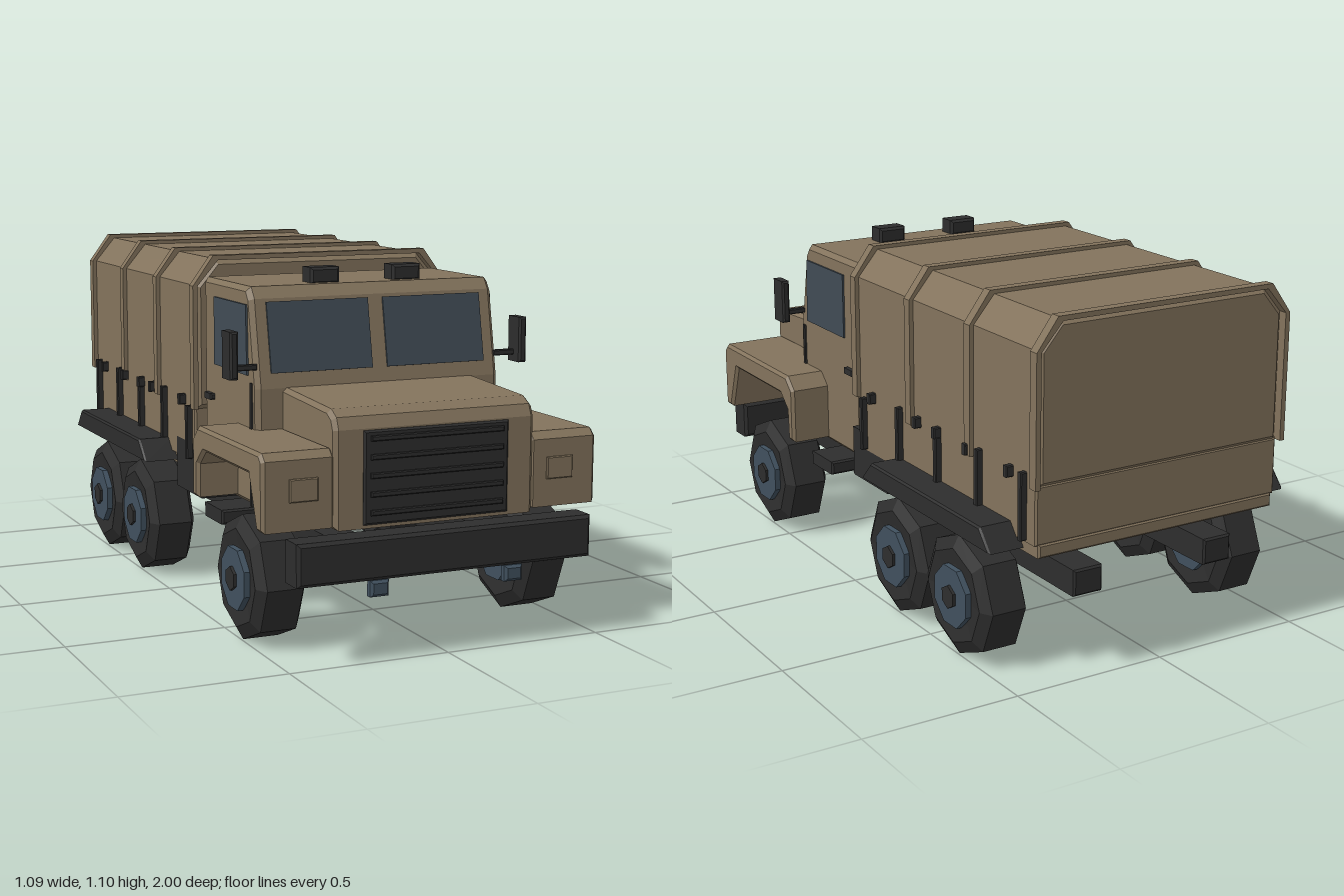
import * as THREE from 'three';

const mat = (name, hex) => {
  const m = new THREE.MeshStandardMaterial({ color: hex });
  m.name = name;
  return m;
};

export function createModel() {
  const tan = mat('sand paint', 0x83735c);
  const dark = mat('black rubber', 0x2d2d2d);
  const glass = mat('window glass', 0x404b54);
  const steel = mat('blue grey steel', 0x40505e);
  const truck = new THREE.Group();
  truck.name = 'cargoTruck';

  const add = (name, geo, material, x = 0, y = 0, z = 0, parent = truck) => {
    const m = new THREE.Mesh(geo, material);
    m.name = name;
    m.position.set(x, y, z);
    parent.add(m);
    return m;
  };
  // Prism along z from an x/y outline, centred, with a one-step bevel
  const prism = (pts, depth, b = 0) => {
    const shape = new THREE.Shape(pts.map(p => new THREE.Vector2(p[0], p[1])));
    const g = new THREE.ExtrudeGeometry(shape, {
      depth: depth - 2 * b, bevelEnabled: b > 0, bevelThickness: b,
      bevelSize: b, bevelOffset: -b, bevelSegments: 1,
    });
    return g.translate(0, 0, -(depth - 2 * b) / 2);
  };
  // Prism across the vehicle from a z/y side outline
  const sidePrism = (pts, width, b) => prism(pts, width, b).rotateY(-Math.PI / 2);
  const bevelBox = (w, h, d, b) =>
    prism([[-w / 2, -h / 2], [w / 2, -h / 2], [w / 2, h / 2], [-w / 2, h / 2]], d, b);
  // Box given by its limits on each axis
  const block = (name, material, [x0, x1], [y0, y1], [z0, z1], b = 0.006) =>
    add(name, bevelBox(x1 - x0, y1 - y0, z1 - z0, b), material,
      (x0 + x1) / 2, (y0 + y1) / 2, (z0 + z1) / 2);
  // Mirrored pair, limits given for the +x side
  const pair = (name, material, [x0, x1], ys, zs, b) => {
    block(name + 'Left', material, [x0, x1], ys, zs, b);
    block(name + 'Right', material, [-x1, -x0], ys, zs, b);
  };

  // Cab and hood
  add('cab', sidePrism([[0.11, 0.37], [0.545, 0.37], [0.545, 0.73], [0.495, 0.995],
    [0.47, 1.03], [0.11, 1.03]], 0.82, 0.015), tan);
  add('hood', sidePrism([[0.53, 0.37], [0.915, 0.37], [0.915, 0.66], [0.9, 0.695],
    [0.865, 0.715], [0.53, 0.732]], 0.65, 0.013), tan);

  // Grille with slats
  block('grille', dark, [-0.235, 0.235], [0.38, 0.655], [0.89, 0.922]);
  for (let i = 0; i < 5; i++) {
    const y = 0.408 + i * 0.054;
    block('grilleSlat', dark, [-0.215, 0.215], [y, y + 0.016], [0.915, 0.931], 0.003);
  }

  // Windows
  const slope = Math.atan(0.05 / 0.265);
  for (const s of [-1, 1]) {
    const w = add('windshield', new THREE.BoxGeometry(0.335, 0.214, 0.008), glass,
      s * 0.1925, 0.88, 0.518);
    w.rotation.x = -slope;
    add('doorWindow', sidePrism([[0.21, 0.765], [0.483, 0.765], [0.475, 0.977],
      [0.21, 0.977]], 0.008, 0), glass, s * 0.412);
  }
  pair('doorSeam', dark, [0.408, 0.416], [0.37, 0.745], [0.503, 0.515], 0);
  pair('doorHandle', dark, [0.405, 0.425], [0.65, 0.67], [0.14, 0.2], 0.004);

  // Mirrors and roof lights
  pair('mirrorArm', dark, [0.4, 0.48], [0.786, 0.804], [0.51, 0.53], 0.003);
  pair('mirror', dark, [0.474, 0.5], [0.765, 0.908], [0.49, 0.565]);
  pair('roofLight', dark, [0.09, 0.187], [1.025, 1.077], [0.37, 0.44], 0.008);

  // Front fenders with open wheel arches, and headlight panels
  const fender = [[0.35, 0.385], [0.39, 0.385], [0.395, 0.49], [0.445, 0.535], [0.805, 0.535],
    [0.862, 0.38], [0.907, 0.38], [0.907, 0.585], [0.885, 0.607], [0.395, 0.607], [0.35, 0.565]];
  for (const s of [-1, 1])
    add('frontFender', sidePrism(fender, 0.225, 0.01), tan, s * 0.431);
  pair('headlightPanel', tan, [0.373, 0.461], [0.464, 0.531], [0.9, 0.914], 0.003);

  // Bumper and tow hooks
  block('bumper', dark, [-0.475, 0.475], [0.238, 0.364], [0.905, 1.0], 0.01);
  pair('towHook', steel, [0.188, 0.247], [0.188, 0.236], [0.962, 0.996], 0.008);

  // Chassis rails, steps and tanks
  pair('chassisRail', dark, [0.185, 0.285], [0.24, 0.322], [-0.96, 0.785]);
  pair('step', dark, [0.27, 0.46], [0.29, 0.335], [0.23, 0.383]);
  pair('fuelTank', dark, [0.29, 0.43], [0.32, 0.486], [-0.115, 0.137], 0.01);

  // Cargo bed
  block('bedSill', tan, [-0.42, 0.42], [0.392, 0.435], [-0.98, 0.06]);
  block('bedSides', tan, [-0.43, 0.43], [0.43, 0.61], [-0.978, 0.07]);

  // Canvas cover
  const arch = (w, top, base) => [[-w, base], [w, base], [w, 1.0], [w - 0.07, top],
    [0.07 - w, top], [-w, 1.0]];
  add('canvasCover', prism(arch(0.43, 1.083, 0.6), 1.07, 0.018), tan, 0, 0, -0.45);

  // Hoops around the cover
  const outer = arch(0.444, 1.095, 0.604).slice(1);
  const inner = arch(0.428, 1.08, 0.604).slice(1);
  const hoop = [...outer, [-0.444, 0.604], [-0.428, 0.604], ...inner.slice().reverse()];
  for (let i = 0; i < 4; i++)
    add('canvasHoop', prism(hoop, 0.033), tan, 0, 0, 0.083 - i * 0.3547);

  // Straps and short hooks along the cover edge
  for (let i = 0; i < 5; i++) {
    const z = 0.035 - i * 0.239;
    pair('strap', dark, [0.425, 0.45], [0.435, i % 2 || i === 4 ? 0.64 : 0.61],
      [z - 0.01, z + 0.01], 0.003);
  }
  for (const z of [-0.025, -0.32, -0.44, -0.62, -0.85])
    pair('coverHook', dark, [0.425, 0.453], [0.605, 0.64], [z - 0.011, z + 0.011], 0.003);

  // Rear mudguards
  for (const s of [-1, 1])
    add('rearMudguard', sidePrism([[-0.9, 0.402], [-0.127, 0.402], [-0.19, 0.468],
      [-0.845, 0.468]], 0.125, 0.006), dark, s * 0.4725);

  // Wheels: eight-sided faceted tyre, hub and hexagonal cap
  const profile = [[0, -0.07], [0.1, -0.07], [0.15, -0.078], [0.19, -0.056],
    [0.19, 0.056], [0.15, 0.078], [0.1, 0.07], [0, 0.07]];
  const lathe = new THREE.LatheGeometry(profile.map(p => new THREE.Vector2(p[0], p[1])), 8);
  const tyre = lathe.toNonIndexed().rotateZ(-Math.PI / 2);
  tyre.computeVertexNormals();
  const disc = (r, w, n, start) => {
    const g = new THREE.CylinderGeometry(r, r, w, n, 1, false, start).toNonIndexed();
    g.computeVertexNormals();
    return g.rotateZ(-Math.PI / 2);
  };
  const hub = disc(0.098, 0.178, 8, Math.PI / 8);
  const cap = disc(0.037, 0.196, 6, Math.PI / 2);
  for (const z of [0.637, -0.295, -0.665]) {
    for (const s of [-1, 1]) {
      const wheel = new THREE.Group();
      wheel.name = 'wheel';
      wheel.position.set(s * 0.4375, 0.19, z);
      add('tyre', tyre, dark, 0, 0, 0, wheel);
      add('hub', hub, steel, 0, 0, 0, wheel);
      add('hubCap', cap, dark, 0, 0, 0, wheel);
      truck.add(wheel);
    }
  }
  return truck;
}
